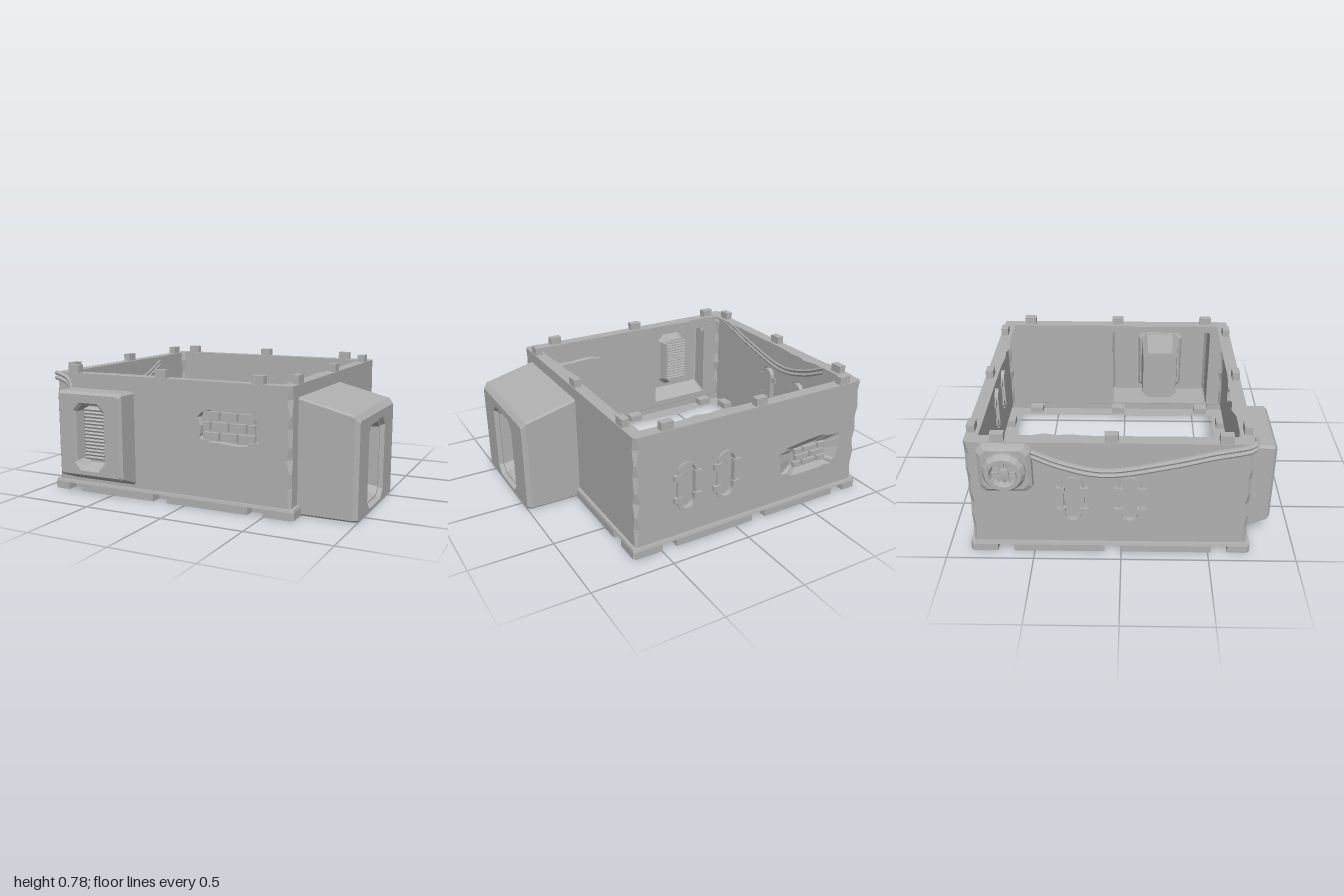
import * as THREE from 'three';

const HALF = 0.7825, TOP = 0.735, LIP = 0.06, INNER = 0.71, BASE = 0.805;
const grey = new THREE.MeshStandardMaterial({ color: 0xb0b0b0, side: THREE.DoubleSide, flatShading: true });
grey.name = 'concreteGrey';

let seed = 7;
const rnd = () => (seed = (seed * 16807) % 2147483647) / 2147483647;

function add(parent, geometry, name, x = 0, y = 0, z = 0) {
  const mesh = new THREE.Mesh(geometry, grey);
  mesh.name = name;
  mesh.position.set(x, y, z);
  parent.add(mesh);
  return mesh;
}
const box = (parent, name, w, h, d, x, y, z) => add(parent, new THREE.BoxGeometry(w, h, d), name, x, y, z);

// Skin through cross-section loops of equal length, optionally capped at the end
function loft(loops, { closed = true, cap = false } = {}) {
  const out = [], n = loops[0].length;
  const tri = (...p) => p.forEach(q => out.push(...q));
  for (let k = 0; k + 1 < loops.length; k++) {
    const a = loops[k], b = loops[k + 1];
    for (let i = 0; i < (closed ? n : n - 1); i++) {
      const j = (i + 1) % n;
      tri(a[i], a[j], b[j]);
      tri(a[i], b[j], b[i]);
    }
  }
  if (cap) {
    const l = loops[loops.length - 1];
    const c = [0, 1, 2].map(k => l.reduce((s, p) => s + p[k], 0) / n);
    l.forEach((p, i) => tri(c, p, l[(i + 1) % n]));
  }
  const g = new THREE.BufferGeometry();
  g.setAttribute('position', new THREE.Float32BufferAttribute(out, 3));
  g.computeVertexNormals();
  return g;
}

// Loops on a wall: chamfered rectangle, pill and ragged patch, at depth d
const rect = (u0, u1, v0, v1, c, d = 0) => [
  [u0 + c, v0, d], [u1 - c, v0, d], [u1, v0 + c, d], [u1, v1 - c, d],
  [u1 - c, v1, d], [u0 + c, v1, d], [u0, v1 - c, d], [u0, v0 + c, d]];
function pill(u, v, w, h, d = 0) {
  return Array.from({ length: 18 }, (_, i) => {
    const top = i < 9, a = Math.PI * (top ? i : i - 1) / 8;
    return [u + Math.cos(a) * w / 2, v + Math.sin(a) * w / 2 + (top ? 1 : -1) * (h - w) / 2, d];
  });
}
function ragged(u, v, w, h, jitter, d = 0) {
  return Array.from({ length: 26 }, (_, i) => {
    const a = i / 26 * Math.PI * 2, k = 1 + (rnd() - 0.5) * jitter;
    const f = t => Math.sign(t) * Math.sqrt(Math.abs(t));
    return [u + f(Math.cos(a)) * w / 2 * k, v + f(Math.sin(a)) * h / 2 * k, d];
  });
}
const shapeOf = pts => new THREE.Shape(pts.map(p => new THREE.Vector2(p[0], p[1])));

// Chipped corner width by height
const chips = [[LIP, 0.012], [0.17, 0.022], [0.25, 0.01], [0.33, 0.03], [0.4, 0.014],
  [0.5, 0.024], [0.57, 0.01], [0.66, 0.028], [TOP, 0.015]];

function wall(side, holes) {
  const right = chips.map(([y, w]) => [HALF - w, y]);
  const left = chips.map(([y, w]) => [w - HALF, y]).reverse();
  const shape = shapeOf([...right, ...left]);
  holes.forEach(h => shape.holes.push(shapeOf(h)));
  add(side, new THREE.ShapeGeometry(shape), 'wall', 0, 0, HALF);
  add(side, loft([chips.map(([y, w]) => [HALF, y, HALF - w]), chips.map(([y, w]) => [HALF - w, y, HALF])],
    { closed: false }), 'chippedCorner');
}

// Recessed pill window with a raised rim and four clips
function pillWindow(side, u, v) {
  add(side, loft([pill(u, v, 0.13, 0.31), pill(u, v, 0.13, 0.31, 0.012), pill(u, v, 0.1, 0.28, 0.012),
    pill(u, v, 0.1, 0.28, -0.02)], { cap: true }), 'pillWindow', 0, 0, HALF);
  for (const sx of [-1, 1]) for (const sy of [-1, 1])
    box(side, 'windowClip', 0.045, 0.035, 0.03, u + sx * 0.065, v + sy * 0.07, HALF + 0.005);
  return pill(u, v, 0.13, 0.31);
}

// Broken plaster with exposed bricks; returns the hole outline
function brickPatch(side, u, v, w, h, dent) {
  const rim = ragged(u, v, w, h, 0.22);
  const floor = rim.map(p => [u + (p[0] - u) * dent, v + (p[1] - v) * dent, -0.03]);
  add(side, loft([rim, floor], { cap: true }), 'brokenPlaster', 0, 0, HALF);
  const hw = w * dent * 0.45, pitch = h * dent / 3, len = 0.112;
  for (let r = -1; r <= 1; r++) {
    const shift = r === 0 ? len / 2 : 0;
    for (let i = -3; i <= 3; i++) {
      const a = Math.max(-hw, i * len - len / 2 + shift + 0.006);
      const b = Math.min(hw, i * len + len / 2 + shift - 0.006);
      if (b - a > 0.02) box(side, 'brick', b - a, pitch - 0.012, 0.026, u + (a + b) / 2, v + r * pitch, HALF - 0.017);
    }
  }
  return rim;
}

// Sloping vent housing with louvres
function ventHousing(side) {
  const [a, b] = [-0.667, -0.217];
  add(side, loft([rect(a, b, 0.08, 0.645, 0.012), rect(a, b, 0.13, 0.645, 0.012, 0.128),
    rect(a + 0.015, b - 0.015, 0.145, 0.63, 0.012, 0.145), rect(-0.552, -0.332, 0.17, 0.58, 0.045, 0.145),
    rect(-0.54, -0.344, 0.182, 0.568, 0.042, 0.13), rect(-0.525, -0.359, 0.21, 0.555, 0.03, 0.06)],
  { cap: true }), 'ventHousing', 0, 0, HALF);
  for (let i = 0; i < 15; i++) {
    const slat = box(side, 'louvre', 0.155, 0.012, 0.03, -0.442, 0.24 + i * 0.021, HALF + 0.07);
    slat.rotation.x = 0.5;
  }
  return rect(a + 0.01, b - 0.01, 0.1, 0.635, 0.01);
}

// Entrance annex with a deep tapered doorway
function annex(side) {
  const [a, b] = [-0.685, 0.035];
  add(side, loft([rect(a, b, 0, 0.665, 0.01), rect(a, b, 0, 0.585, 0.01, 0.318),
    rect(a + 0.018, b - 0.018, 0, 0.555, 0.012, 0.345), rect(-0.495, -0.165, 0.015, 0.51, 0.05, 0.345),
    rect(-0.48, -0.18, 0.03, 0.495, 0.045, 0.32), rect(-0.465, -0.19, 0.04, 0.485, 0.04, 0.32),
    rect(-0.445, -0.2, 0.09, 0.46, 0.035, 0.05)], { cap: true }), 'entranceAnnex', 0, 0, HALF);
  return rect(a + 0.01, b - 0.01, 0.07, 0.65, 0.01);
}

// Wall fan on a square plate
function fan(side) {
  add(side, loft([rect(-0.715, -0.415, 0.43, 0.73, 0.03), rect(-0.71, -0.42, 0.435, 0.725, 0.03, 0.025),
    rect(-0.69, -0.44, 0.455, 0.705, 0.03, 0.04)], { cap: true }), 'fanPlate', 0, 0, HALF);
  const profile = [[0.12, 0.03], [0.12, 0.06], [0.1, 0.088], [0.078, 0.088], [0.066, 0.055],
    [0.035, 0.055], [0.03, 0.078], [0, 0.08]].map(p => new THREE.Vector2(...p));
  const hub = add(side, new THREE.LatheGeometry(profile, 16), 'fanHousing', -0.565, 0.58, HALF);
  hub.rotation.x = Math.PI / 2;
  for (let i = 0; i < 6; i++) {
    const blade = box(side, 'fanSpoke', 0.13, 0.01, 0.014, -0.565, 0.58, HALF + 0.062);
    blade.rotation.z = i * Math.PI / 6;
  }
}

// Outline of the base ring; notched = 1 cuts the sockets inward
const SHIFTS = [-0.037, -0.015, 0.037, 0.015];
function outline(half, y, notched) {
  const pts = [];
  SHIFTS.forEach((s, k) => {
    const a = k * Math.PI / 2, c = Math.cos(a), n = Math.sin(a);
    const put = (u, d) => pts.push([u * c + d * n, y, d * c - u * n]);
    put(-half + 0.015, half);
    for (const t of [-0.615, 0, 0.615]) {
      const inner = half - notched * 0.07;
      put(t + s - 0.047, half); put(t + s - 0.047, inner);
      put(t + s + 0.047, inner); put(t + s + 0.047, half);
    }
    put(half - 0.015, half);
  });
  return pts;
}

// Flat ring with a crumbling inner edge
function ring(loop) {
  const shape = shapeOf(loop.map(p => [p[0], p[2]]));
  const hole = [];
  for (let k = 0; k < 4; k++) {
    const c = Math.cos(k * Math.PI / 2), n = Math.sin(k * Math.PI / 2);
    for (let i = 0; i < 20; i++) {
      const u = -INNER + i * INNER / 10, d = INNER - (i > 3 && i < 9 ? rnd() * 0.022 : 0);
      hole.push([u * c + d * n, d * c - u * n]);
    }
  }
  shape.holes.push(shapeOf(hole));
  return new THREE.ShapeGeometry(shape).rotateX(Math.PI / 2);
}

export function createModel() {
  const model = new THREE.Group();
  model.name = 'buildingStorey';
  const body = new THREE.Group();
  body.name = 'building';
  body.position.set(-0.128, 0, -0.065);
  model.add(body);

  const [front, right, back, left] = ['frontSide', 'rightSide', 'backSide', 'leftSide'].map((name, k) => {
    const side = new THREE.Group();
    side.name = name;
    side.rotation.y = k * Math.PI / 2;
    body.add(side);
    // Locating tabs along the top
    for (const t of [-0.615, 0, 0.615])
      box(side, 'topTab', 0.075, 0.05, 0.045, t + SHIFTS[k], TOP + 0.022, HALF - 0.028);
    return side;
  });

  wall(front, [ventHousing(front), brickPatch(front, 0.403, 0.48, 0.37, 0.185, 0.96)]);
  wall(right, [annex(right)]);
  wall(back, [pillWindow(back, -0.458, 0.365), pillWindow(back, -0.198, 0.365),
    brickPatch(back, 0.422, 0.32, 0.44, 0.22, 0.6)]);
  wall(left, [pillWindow(left, -0.205, 0.36), pillWindow(left, 0.115, 0.36)]);
  fan(left);

  // Base ring with sockets, and flat rims at top and bottom
  add(body, loft([outline(BASE, 0, 1), outline(BASE, 0.045, 1), outline(BASE, 0.045, 0),
    outline(BASE - 0.004, LIP, 0), outline(HALF, LIP, 0)]), 'baseRing');
  add(body, ring(outline(BASE, 0, 1)), 'bottomRim');
  add(body, ring(outline(HALF, 0, 0)), 'topRim', 0, TOP);

  // Pair of cables sagging from the fan round the corner to the vent
  for (const o of [0, 0.03]) {
    const path = new THREE.CatmullRomCurve3([[-0.918, 0.69, -0.5], [-0.918, 0.61, -0.32], [-0.918, 0.56, -0.09],
      [-0.918, 0.62, 0.27], [-0.918, 0.68, 0.5], [-0.915, 0.725, 0.7], [-0.89, 0.73, 0.728],
      [-0.81, 0.7, 0.73], [-0.775, 0.63, 0.735]].map(p => new THREE.Vector3(p[0], p[1] - o, p[2])));
    add(model, new THREE.TubeGeometry(path, 48, 0.014, 6), 'cable');
  }
  return model;
}
